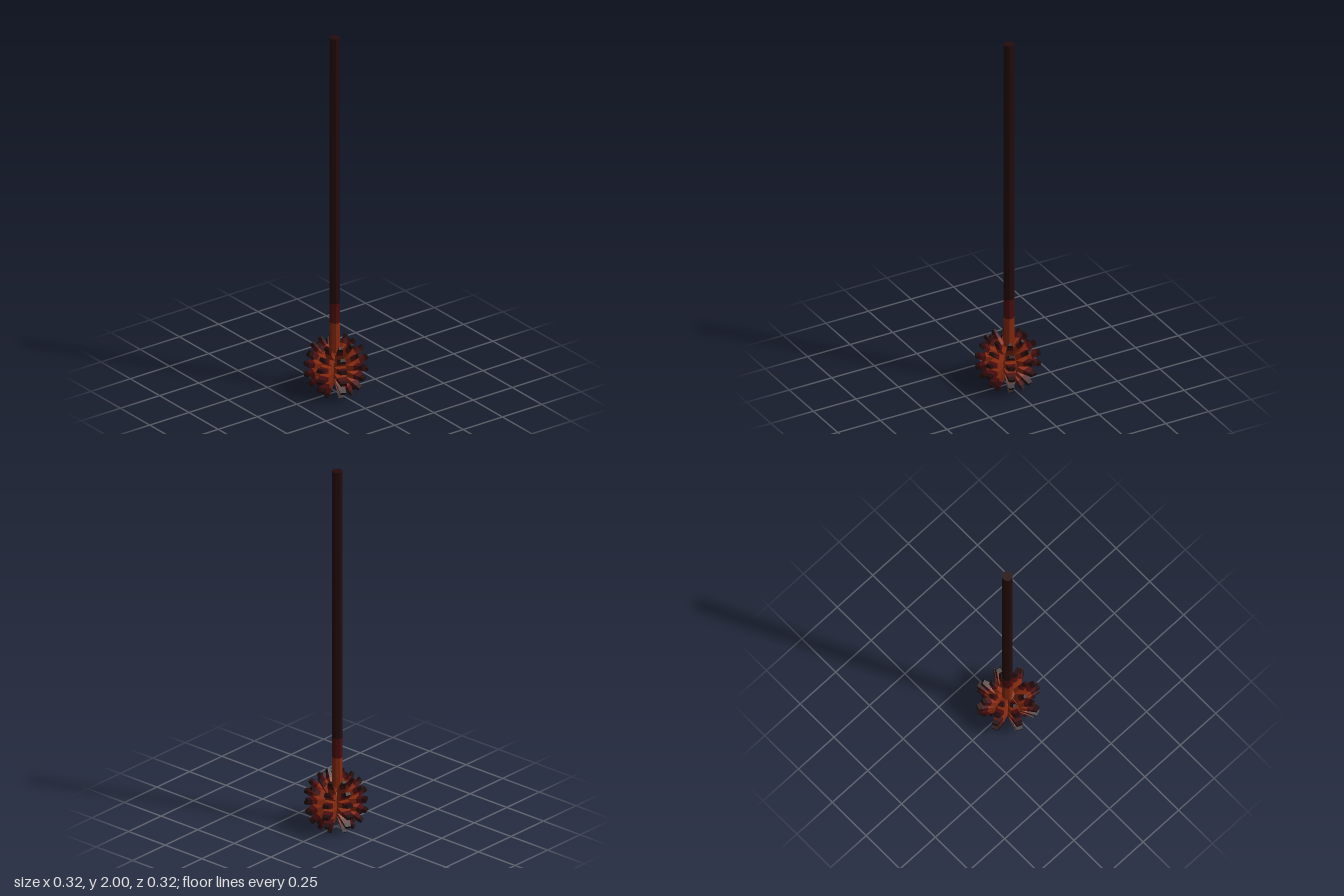
import * as THREE from 'three';

const CENTER_Y = 0.147, CORE_R = 0.085;

// Point on the core sphere from latitude and azimuth in degrees
function onSphere(lat, az) {
  const a = THREE.MathUtils.degToRad(lat), b = THREE.MathUtils.degToRad(az);
  return new THREE.Vector3(Math.cos(a) * Math.cos(b), Math.sin(a), -Math.cos(a) * Math.sin(b)).multiplyScalar(CORE_R);
}

// One tapered cross-section of a spike: radius from the core's centre and scale of the base quad
function section(lat, az, radius, scale) {
  const h = 11.25, w = 22.5;
  const corners = [[-h, -w], [-h, w], [h, w], [h, -w]].map(([p, q]) => onSphere(lat + p, az + q));
  const mid = corners.reduce((s, c) => s.add(c), new THREE.Vector3()).multiplyScalar(0.25);
  const out = onSphere(lat, az).normalize();
  return corners.map(c => c.sub(mid).multiplyScalar(scale).addScaledVector(out, radius));
}

function quad(list, a, b, c, d) {
  for (const p of [a, b, c, a, c, d]) list.push(p.x, p.y, p.z);
}

// Band between two sections of every spike in all rows
function spikeBand(r0, s0, r1, s1, capped) {
  const pos = [];
  for (let row = 0; row < 6; row++) {
    const lat = -56.25 + row * 22.5;
    for (let k = 0; k < 8; k++) {
      const az = 22.5 + k * 45;
      const a = section(lat, az, r0, s0), b = section(lat, az, r1, s1);
      for (let i = 0; i < 4; i++) {
        const j = (i + 1) % 4;
        quad(pos, a[i], a[j], b[j], b[i]);
      }
      if (capped) quad(pos, b[0], b[1], b[2], b[3]);
    }
  }
  const g = new THREE.BufferGeometry();
  g.setAttribute('position', new THREE.Float32BufferAttribute(pos, 3));
  g.computeVertexNormals();
  return g;
}

export function createModel() {
  const model = new THREE.Group();
  model.name = 'spikedMace';
  const mat = (name, color) => {
    const m = new THREE.MeshStandardMaterial({ color, flatShading: true });
    m.name = name;
    return m;
  };
  const rust = mat('rust', 0x86290f);
  const maroon = mat('maroon', 0x4a0d10);
  const dark = mat('darkBrown', 0x240c0c);

  const add = (parent, name, geometry, material) => {
    const mesh = new THREE.Mesh(geometry, material);
    mesh.name = name;
    parent.add(mesh);
    return mesh;
  };

  // Head: faceted core with a spike on each four-sided facet
  const head = new THREE.Group();
  head.name = 'head';
  head.position.y = CENTER_Y;
  add(head, 'core', new THREE.SphereGeometry(CORE_R, 8, 8), rust);
  add(head, 'spikeBases', spikeBand(0.08, 1, 0.12, 0.78, false), rust);
  add(head, 'spikeBands', spikeBand(0.12, 0.78, 0.148, 0.62, false), maroon);
  add(head, 'spikeTips', spikeBand(0.148, 0.62, 0.17, 0.5, true), dark);
  model.add(head);

  // Shaft: three coloured lengths of an eight-sided rod, slightly off axis
  const shaft = new THREE.Group();
  shaft.name = 'shaft';
  shaft.position.set(-0.007, 0, 0.003);
  const lengths = [
    ['shaftRoot', 0.2, 0.395, rust],
    ['shaftBand', 0.395, 0.505, maroon],
    ['shaftGrip', 0.505, 2, dark],
  ];
  for (const [name, y0, y1, material] of lengths) {
    const open = y1 < 2;
    const rod = add(shaft, name, new THREE.CylinderGeometry(0.0285, 0.0285, y1 - y0, 8, 1, open), material);
    rod.position.y = (y0 + y1) / 2;
    rod.rotation.y = Math.PI / 8;
  }
  model.add(shaft);
  return model;
}
